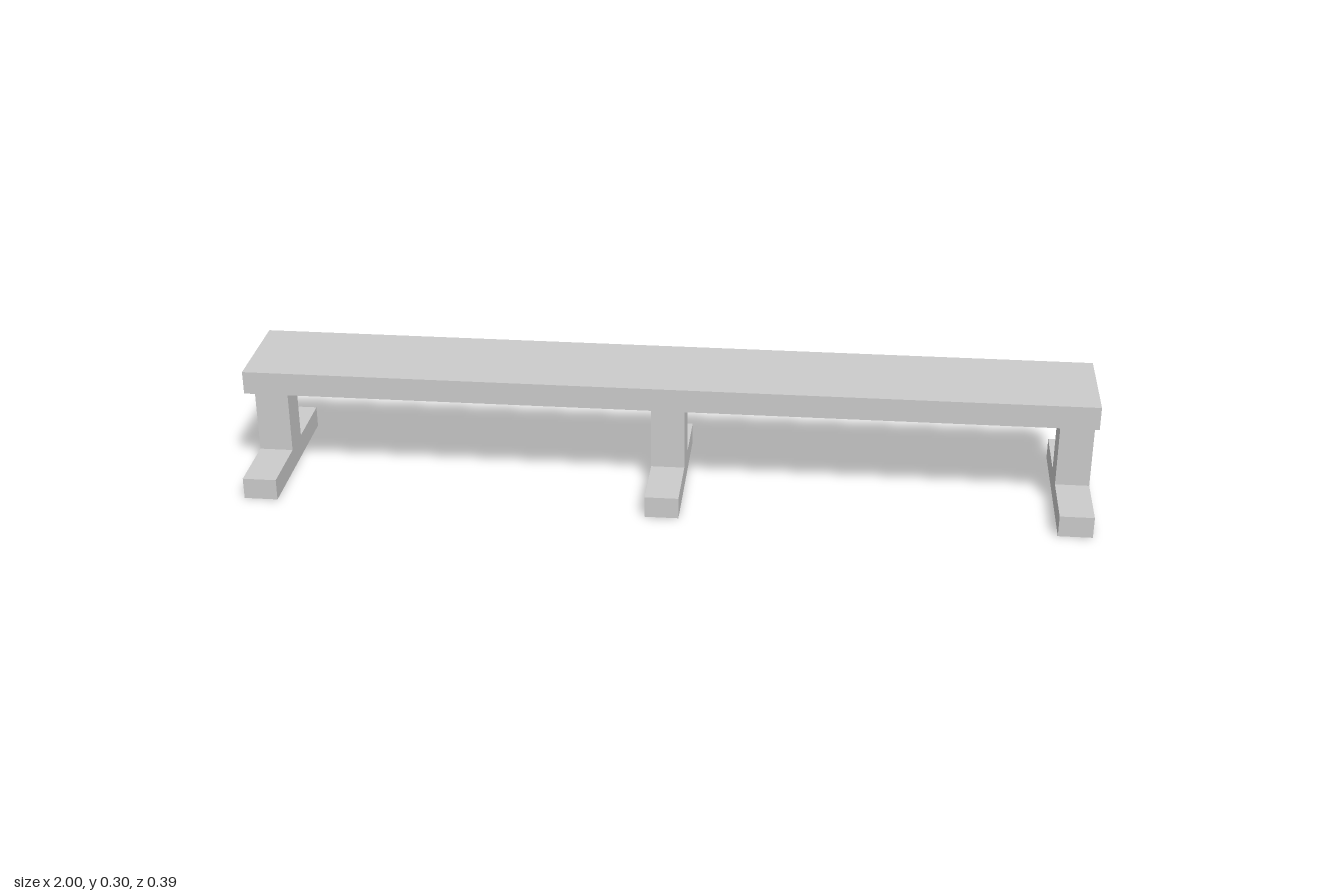
import * as THREE from 'three';

const material = new THREE.MeshStandardMaterial({ color: 0xcccccc, flatShading: true });

// Box spanning y0..y1, centred on z = 0
function slab(name, width, y0, y1, depth) {
  const mesh = new THREE.Mesh(new THREE.BoxGeometry(width, y1 - y0, depth), material);
  mesh.name = name;
  mesh.position.y = (y0 + y1) / 2;
  return mesh;
}

export function createModel() {
  const bench = new THREE.Group();
  bench.name = 'bench';

  const LENGTH = 2, SUPPORT = 0.08;
  const FOOT_TOP = 0.052, SEAT_BOTTOM = 0.241, SEAT_TOP = 0.297;

  // Long seat plank
  bench.add(slab('seat', LENGTH, SEAT_BOTTOM, SEAT_TOP, 0.242));

  // Three supports, each a post on a crosswise foot
  const end = (LENGTH - SUPPORT) / 2;
  for (const [name, x] of [['rightSupport', -end], ['middleSupport', 0], ['leftSupport', end]]) {
    const support = new THREE.Group();
    support.name = name;
    support.position.x = x;
    support.add(
      slab('foot', SUPPORT, 0, FOOT_TOP, 0.392),
      slab('post', SUPPORT, FOOT_TOP, SEAT_BOTTOM, 0.08)
    );
    bench.add(support);
  }
  return bench;
}
